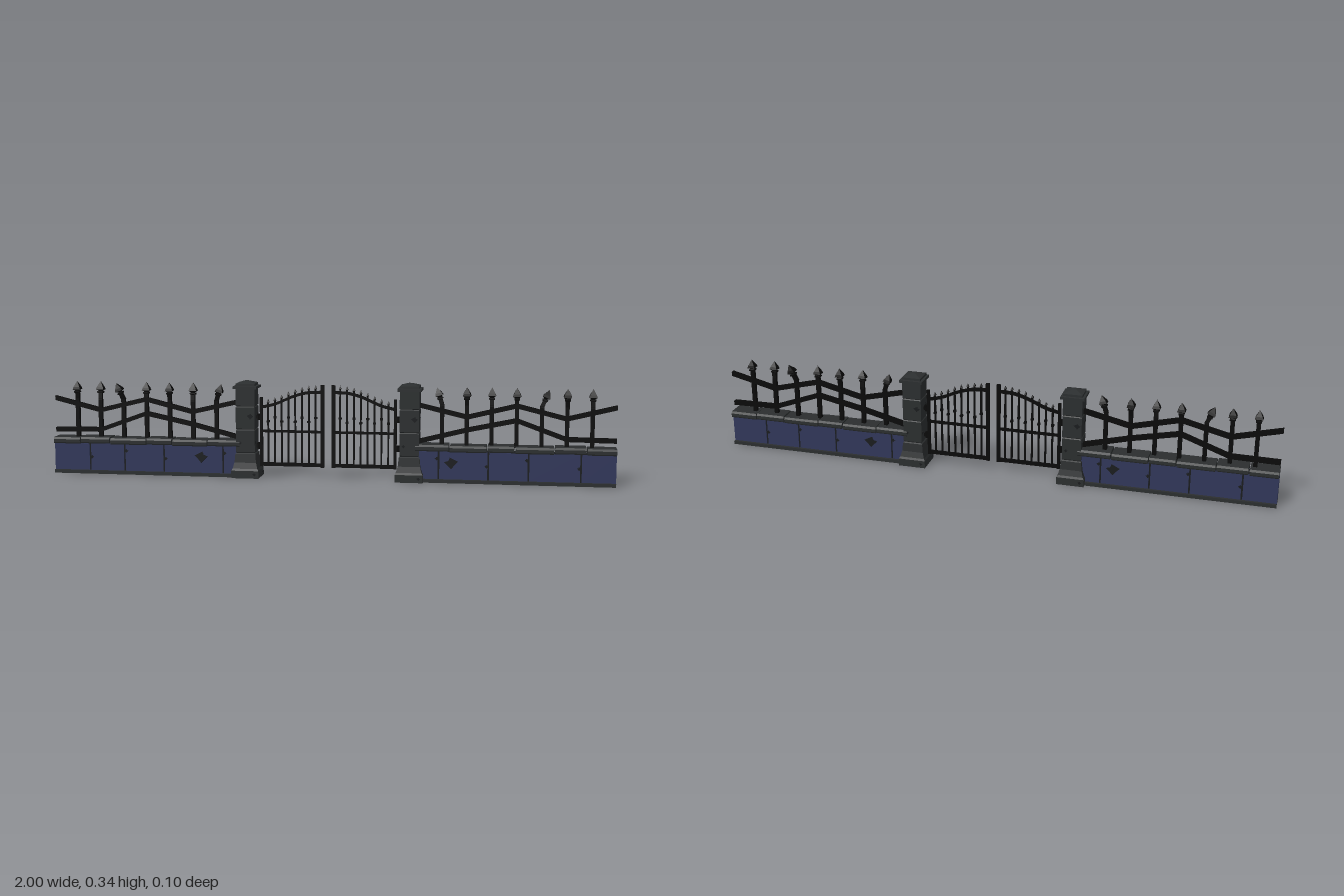
import * as THREE from 'three';

const mat = (color) => new THREE.MeshStandardMaterial({ color, flatShading: true });
const stone = mat(0x2b2e2f), darkStone = mat(0x1a1c1e), slate = mat(0x31375a), iron = mat(0x090909);

function add(parent, name, geometry, material, x = 0, y = 0, z = 0) {
  const mesh = new THREE.Mesh(geometry, material);
  mesh.name = name;
  mesh.position.set(x, y, z);
  parent.add(mesh);
  return mesh;
}

// Box given by its limits on each axis
function span(parent, name, material, x0, x1, y0, y1, z0, z1) {
  return add(parent, name, new THREE.BoxGeometry(x1 - x0, y1 - y0, z1 - z0), material,
    (x0 + x1) / 2, (y0 + y1) / 2, (z0 + z1) / 2);
}

// Square tower from [half width, height] pairs
function squareLathe(profile) {
  const pts = profile.map(([w, y]) => new THREE.Vector2(w * Math.SQRT2, y));
  return new THREE.LatheGeometry(pts, 4).rotateY(Math.PI / 4);
}

// Flat iron band following a centre line in the xy plane
function band(points, half, depth) {
  const top = points.map(([x, y]) => new THREE.Vector2(x, y + half));
  const bottom = points.map(([x, y]) => new THREE.Vector2(x, y - half)).reverse();
  const g = new THREE.ExtrudeGeometry(new THREE.Shape([...bottom, ...top]), { depth, bevelEnabled: false });
  return g.translate(0, 0, -depth / 2);
}

// Coping stone with chamfered edges, running along x
function copingStone(x0, x1) {
  const s = new THREE.Shape([[-0.034, 0.109], [0.034, 0.109], [0.036, 0.113], [0.036, 0.124],
    [0.031, 0.131], [-0.031, 0.131], [-0.036, 0.124], [-0.036, 0.113]].map(([z, y]) => new THREE.Vector2(z, y)));
  const g = new THREE.ExtrudeGeometry(s, { depth: x1 - x0, bevelEnabled: false });
  return g.rotateY(Math.PI / 2).translate(x0, 0, 0);
}

// Small jagged break in a stone face
function chip(parent, x, y, z, size) {
  const s = new THREE.Shape([[-1, 0.2], [-0.5, -0.3], [0, -0.9], [0.5, -0.4], [1, 0.1], [0.4, 0.3], [0.2, 0.8], [-0.4, 0.5]]
    .map(([a, b]) => new THREE.Vector2(a * size, b * size)));
  const g = new THREE.ExtrudeGeometry(s, { depth: 0.002, bevelEnabled: false }).translate(0, 0, -0.001);
  return add(parent, 'stoneChip', g, darkStone, x, y, z);
}

function makePillar() {
  const pillar = new THREE.Group();
  pillar.name = 'pillar';
  add(pillar, 'pillarShaft', squareLathe([[0, 0], [0.049, 0], [0.049, 0.027], [0.045, 0.034], [0.039, 0.055],
    [0.036, 0.086], [0.032, 0.089], [0.034, 0.093], [0.034, 0.17], [0.031, 0.173], [0.034, 0.176],
    [0.034, 0.252], [0.031, 0.255], [0.034, 0.258], [0.034, 0.318], [0, 0.318]]), stone);
  add(pillar, 'pillarCap', squareLathe([[0, 0.318], [0.042, 0.318], [0.042, 0.327], [0.034, 0.328],
    [0.034, 0.336], [0.006, 0.345], [0, 0.345]]), stone);
  for (const a of [0, 1, 2, 3]) {
    const face = new THREE.Group();
    face.name = 'pillarFaceDamage';
    face.rotation.y = a * Math.PI / 2;
    chip(face, 0.018, 0.22, 0.0335, 0.012);
    chip(face, -0.02, 0.125, 0.0335, 0.007);
    chip(face, 0.034, 0.014, 0.0485, 0.007);
    pillar.add(face);
  }
  pillar.position.x = -0.291;
  return pillar;
}

function makeWall() {
  const wall = new THREE.Group();
  wall.name = 'wall';
  const end = -0.31;
  span(wall, 'wallCore', darkStone, -0.999, end, 0.01, 0.11, -0.021, 0.021);
  // Slate slabs on both faces, each with its own joints
  const joints = { 1: [-1, -0.867, -0.738, -0.592, -0.375, end], [-1]: [-1, -0.881, -0.703, -0.565, -0.393, end] };
  for (const side of [1, -1]) {
    const cuts = joints[side];
    for (let i = 0; i < cuts.length - 1; i++) {
      const z = side * 0.022;
      span(wall, 'slateSlab', slate, cuts[i] + (i ? 0.003 : 0), cuts[i + 1] - 0.003, 0.012, 0.109, z - 0.002, z + 0.002);
      if (i) chip(wall, cuts[i] + 0.006, i % 2 ? 0.06 : 0.085, side * 0.024, 0.008);
    }
    chip(wall, side > 0 ? -0.455 : -0.437, 0.07, side * 0.0245, 0.024);
    span(wall, 'plinthRail', stone, -1, end, 0, 0.012, Math.min(side * 0.022, side * 0.034), Math.max(side * 0.022, side * 0.034));
  }
  // Cross pieces under the wall
  for (const x of [-0.995, -0.867, -0.738, -0.592, -0.45, -0.34])
    span(wall, 'plinthTie', stone, x - 0.005, x + 0.005, 0.002, 0.012, -0.024, 0.024);
  span(wall, 'endSlab', slate, -1, -0.997, 0.012, 0.109, -0.0235, 0.0235);
  const caps = [-1, -0.9, -0.79, -0.655, -0.56, -0.43, end];
  for (let i = 0; i < caps.length - 1; i++)
    add(wall, 'copingStone', copingStone(caps[i] + (i ? 0.002 : 0), caps[i + 1] - 0.002), stone, 0, i % 2 ? 0.002 : 0, 0);
  return wall;
}

function makeFence() {
  const fence = new THREE.Group();
  fence.name = 'fence';
  add(fence, 'upperRail', band([[-1, 0.271], [-0.83, 0.229], [-0.66, 0.271], [-0.49, 0.229], [-0.31, 0.271]], 0.008, 0.016), iron);
  add(fence, 'lowerRail', band([[-1, 0.156], [-0.83, 0.158], [-0.66, 0.22], [-0.49, 0.184], [-0.31, 0.138]], 0.008, 0.016), iron);
  // Sideways and forward lean of each spike head
  const leans = [[0, 0.06], [0, -0.08], [0.4, 0.1], [0, -0.03], [0, 0.08], [0, -0.1], [-0.3, 0.05]];
  leans.forEach(([side, forward], i) => {
    const post = new THREE.Group();
    post.name = 'fencePost';
    post.position.x = -0.917 + i * 0.0858;
    span(post, 'postBar', iron, -0.007, 0.007, 0.125, 0.272, -0.007, 0.007);
    const spike = add(post, 'spikeHead', squareLathe([[0, -0.004], [0.007, -0.004], [0.007, 0.02], [0.01, 0.022],
      [0.01, 0.027], [0.006, 0.029], [0.014, 0.034], [0.011, 0.043], [0, 0.064]]), iron, 0, 0.27, 0);
    spike.rotation.set(forward, 0, side);
    fence.add(post);
  });
  return fence;
}

function makeGate() {
  const gate = new THREE.Group();
  gate.name = 'gateLeaf';
  const d = 0.005;
  span(gate, 'innerStile', iron, -0.026, -0.013, 0.038, 0.332, -d, d);
  span(gate, 'outerStile', iron, -0.244, -0.234, 0.038, 0.285, -d, d);
  span(gate, 'bottomRail', iron, -0.24, -0.02, 0.04, 0.052, -d, d);
  span(gate, 'middleRail', iron, -0.24, -0.02, 0.161, 0.169, -d, d);
  const curve = new THREE.CatmullRomCurve3([[-0.24, 0.25], [-0.19, 0.262], [-0.125, 0.29], [-0.075, 0.304], [-0.02, 0.307]]
    .map(([x, y]) => new THREE.Vector3(x, y, 0)));
  const arch = curve.getPoints(16);
  add(gate, 'archedRail', band(arch.map((p) => [p.x, p.y]), 0.005, 0.01), iron);
  // Upright bars rise past the arch and end in points
  for (let i = 1; i <= 8; i++) {
    const x = -0.239 + i * 0.0244;
    const k = arch.findIndex((p) => p.x >= x);
    const a = arch[k - 1], b = arch[k];
    const top = a.y + (b.y - a.y) * (x - a.x) / (b.x - a.x) + 0.025;
    add(gate, 'gateBar', squareLathe([[0, 0.045], [0.003, 0.045], [0.003, top - 0.014], [0.0045, top - 0.012], [0, top]]), iron, x);
    add(gate, 'barCollar', new THREE.BoxGeometry(0.01, 0.007, 0.01), iron, x, i % 2 ? 0.2 : 0.215, 0);
  }
  for (const y of [0.112, 0.215]) {
    span(gate, 'hingeArm', iron, -0.262, -0.236, y - 0.006, y + 0.006, -0.005, 0.005);
    add(gate, 'hingePin', new THREE.CylinderGeometry(0.006, 0.006, 0.022, 8), iron, -0.248, y, 0);
  }
  return gate;
}

export function createModel() {
  const model = new THREE.Group();
  model.name = 'gatedFence';
  // The two halves match under a half turn
  ['rightHalf', 'leftHalf'].forEach((name, i) => {
    const half = new THREE.Group();
    half.name = name;
    half.add(makePillar(), makeWall(), makeFence(), makeGate());
    half.rotation.y = i * Math.PI;
    model.add(half);
  });
  return model;
}
